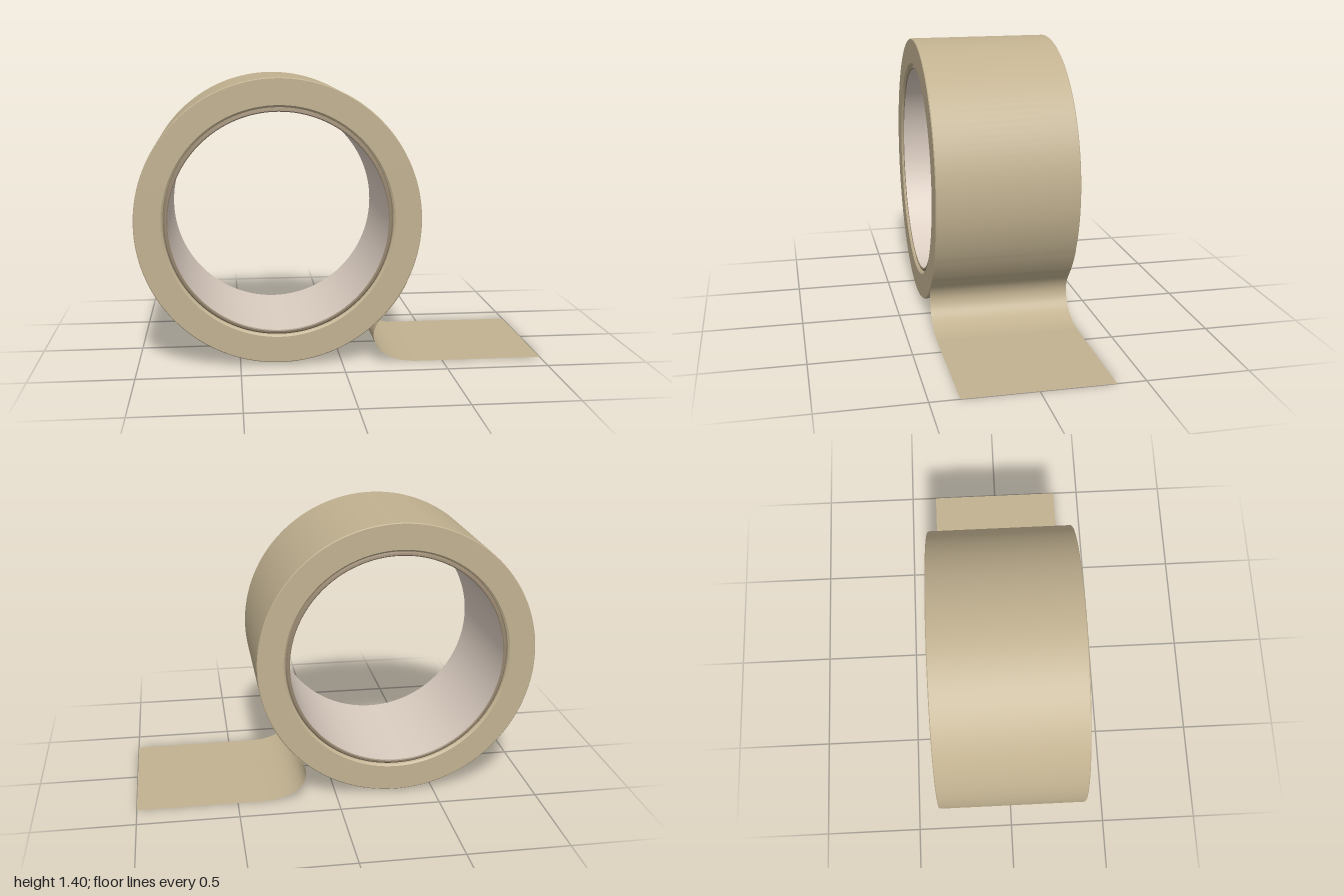
import * as THREE from 'three';
import { toCreasedNormals } from 'three/addons/utils/BufferGeometryUtils.js';

const CX = -0.305, CY = 0.71, R = 0.695, HALF = 0.36;

const tapeMat = new THREE.MeshStandardMaterial({ name: 'tan tape', color: 0xc1b190 });
const tailMat = new THREE.MeshStandardMaterial({ name: 'tan tape tail', color: 0xc1b190, side: THREE.DoubleSide });
const cardMat = new THREE.MeshStandardMaterial({ name: 'pale cardboard', color: 0xdbcdc1 });
const rimMat = new THREE.MeshStandardMaterial({ name: 'brown cardboard rim', color: 0x96866f });

// Revolves [radius, z] points, ordered so the faces look outwards, about the roll's axis
function ring(name, profile, material) {
  let geo = new THREE.LatheGeometry(profile.map(([r, z]) => new THREE.Vector2(r, z)), 128);
  geo.rotateX(Math.PI / 2);
  geo = toCreasedNormals(geo, 0.5);
  const mesh = new THREE.Mesh(geo, material);
  mesh.name = name;
  mesh.position.set(CX, CY, 0);
  return mesh;
}

// Loose end: leaves the roll along its tangent, curls back and lies flat
function looseEnd() {
  const points = [];
  for (const deg of [-26, -30, -34, -38, -42]) {
    const a = THREE.MathUtils.degToRad(deg);
    points.push(new THREE.Vector3(CX + Math.cos(a) * (R + 0.001), CY + Math.sin(a) * (R + 0.001), 0));
  }
  for (const [x, y] of [[0.168, 0.187], [0.155, 0.14], [0.167, 0.09], [0.2, 0.05],
    [0.255, 0.02], [0.33, 0.003], [0.42, 0], [0.7, 0], [1, 0]]) {
    points.push(new THREE.Vector3(x, y, 0));
  }
  const path = new THREE.CatmullRomCurve3(points);
  const geo = new THREE.PlaneGeometry(1, 2 * HALF, 90, 1);
  const pos = geo.attributes.position;
  const p = new THREE.Vector3();
  for (let i = 0; i < pos.count; i++) {
    path.getPoint(THREE.MathUtils.clamp(pos.getX(i) + 0.5, 0, 1), p);
    pos.setXYZ(i, p.x, Math.max(p.y, 0), -pos.getY(i));
  }
  geo.computeVertexNormals();
  const mesh = new THREE.Mesh(geo, tailMat);
  mesh.name = 'looseTapeEnd';
  return mesh;
}

export function createModel() {
  const model = new THREE.Group();
  model.name = 'tapeRoll';

  // Wound tape with slightly softened inner edges
  model.add(ring('woundTape', [
    [0.553, -0.335], [0.556, -0.352], [0.565, -HALF], [R - 0.004, -HALF], [R, -HALF + 0.004],
    [R, HALF - 0.004], [R - 0.004, HALF], [0.565, HALF], [0.556, 0.352], [0.553, 0.335],
  ], tapeMat));

  // Cardboard core: pale bore and a recessed rim at each end
  model.add(ring('coreBore', [[0.533, 0.348], [0.533, -0.348]], cardMat));
  model.add(ring('coreRimFront', [[0.556, 0.34], [0.547, 0.35], [0.538, 0.352], [0.533, 0.348]], rimMat));
  model.add(ring('coreRimBack', [[0.533, -0.348], [0.538, -0.352], [0.547, -0.35], [0.556, -0.34]], rimMat));

  model.add(looseEnd());
  return model;
}
